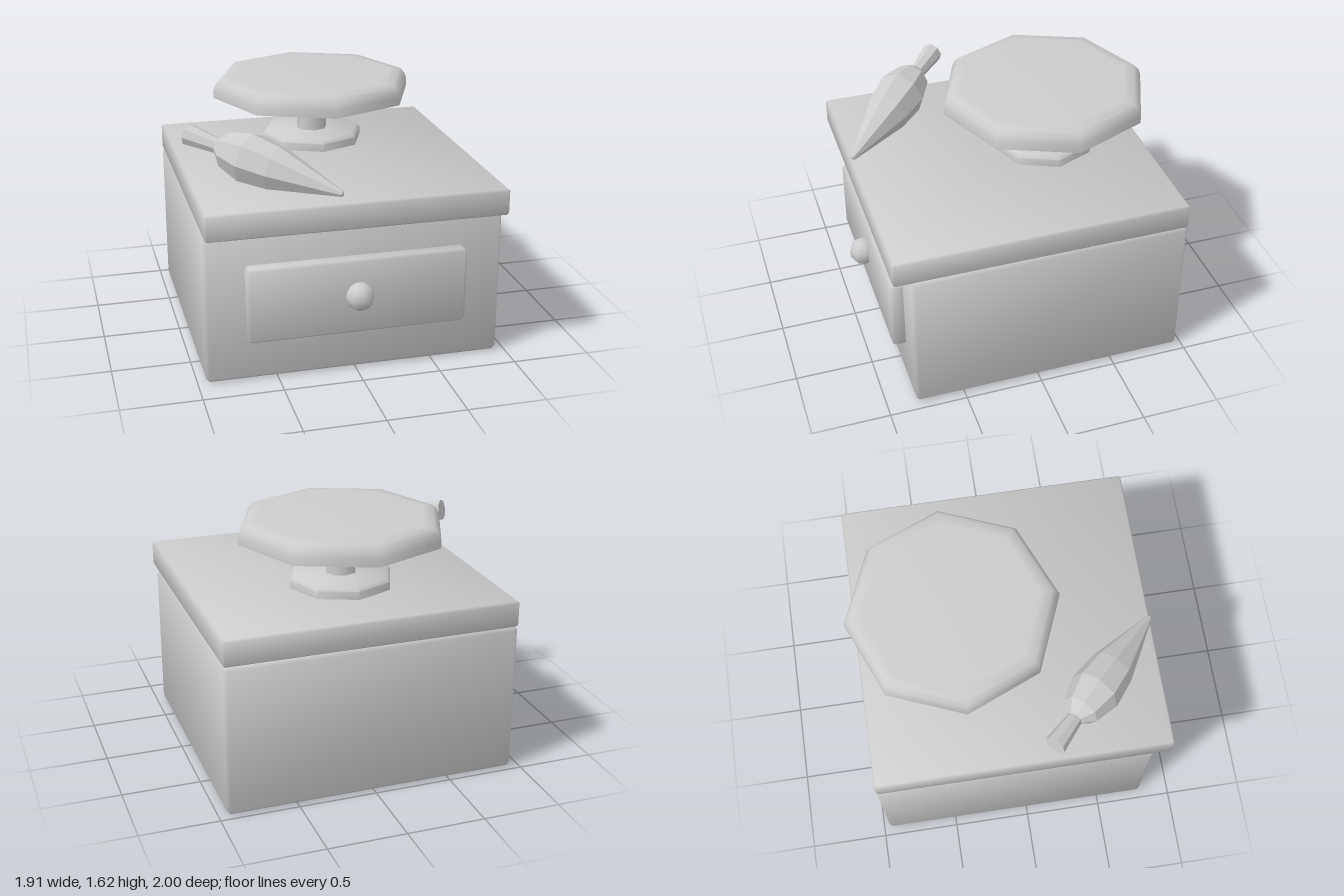
import * as THREE from 'three';
import { toCreasedNormals } from 'three/addons/utils/BufferGeometryUtils.js';
import { ConvexGeometry } from 'three/addons/geometries/ConvexGeometry.js';

const grey = new THREE.MeshStandardMaterial({ color: 0xcccccc });
grey.name = 'light grey';
const flatGrey = grey.clone();
flatGrey.flatShading = true;

function add(group, name, geometry, material = grey) {
  const mesh = new THREE.Mesh(geometry, material);
  mesh.name = name;
  group.add(mesh);
  return mesh;
}

// Chamfered box between two corners, with soft normals running over the chamfers
function bevelBox(min, max, bevel) {
  const half = min.map((v, i) => (max[i] - v) / 2);
  const points = [];
  for (let axis = 0; axis < 3; axis++)
    for (const sx of [-1, 1]) for (const sy of [-1, 1]) for (const sz of [-1, 1]) {
      const p = [sx, sy, sz].map((s, i) => s * (half[i] - (i === axis ? 0 : bevel)));
      points.push(new THREE.Vector3(...p));
    }
  const geometry = new ConvexGeometry(points);
  const pos = geometry.attributes.position, normal = geometry.attributes.normal;
  const n = new THREE.Vector3();
  for (let i = 0; i < pos.count; i++) {
    const p = [pos.getX(i), pos.getY(i), pos.getZ(i)];
    n.set(...p.map((v, k) => Math.sign(v) * (Math.abs(v) > half[k] - bevel / 2 ? 1 : 0.35))).normalize();
    normal.setXYZ(i, n.x, n.y, n.z);
  }
  return geometry.translate(...min.map((v, i) => (v + max[i]) / 2));
}

// Eight-sided turned shape from [radius, height] pairs
function turned(profile) {
  return new THREE.LatheGeometry(profile.map(([r, y]) => new THREE.Vector2(r, y)), 8);
}

export function createModel() {
  const model = new THREE.Group();
  model.name = 'cabinet with cake stand';

  // Cabinet with overhanging top
  add(model, 'cabinetBody', bevelBox([-0.945, 0, -0.965], [0.945, 0.972, 0.81], 0.022));
  add(model, 'cabinetTop', bevelBox([-0.945, 0.975, -0.965], [0.945, 1.143, 0.922], 0.012));

  // Drawer front and knob
  add(model, 'drawerFront', bevelBox([-0.695, 0.275, 0.79], [0.695, 0.763, 0.89], 0.018));
  add(model, 'drawerKnob', new THREE.SphereGeometry(0.09, 8, 8)).position.set(0, 0.53, 0.91);

  // Pedestal stand: foot, stem and plate
  const stand = new THREE.Group();
  stand.name = 'pedestalStand';
  stand.position.z = -0.333;
  model.add(stand);
  const standParts = {
    standFoot: [[0, 1.168], [0.338, 1.168], [0.338, 1.22], [0.315, 1.243], [0, 1.245]],
    standStem: [[0.1, 1.24], [0.1, 1.495]],
    standPlate: [[0, 1.49], [0.667, 1.49], [0.667, 1.54], [0.652, 1.578], [0.622, 1.612], [0.55, 1.618], [0, 1.618]],
  };
  for (const [name, profile] of Object.entries(standParts))
    add(stand, name, toCreasedNormals(turned(profile), 1));

  // Faceted root vegetable lying across the front right corner
  const tip = new THREE.Vector3(-0.115, 1.203, 0.91);
  const end = new THREE.Vector3(-0.912, 1.405, 0.158);
  const axis = end.clone().sub(tip);
  const length = axis.length();
  const vegetable = new THREE.Group();
  vegetable.name = 'rootVegetable';
  vegetable.position.copy(tip);
  vegetable.quaternion.setFromUnitVectors(new THREE.Vector3(0, 1, 0), axis.normalize());
  model.add(vegetable);
  add(vegetable, 'vegetableBody', turned([
    [0, -0.01], [0.018, 0], [0.144, 0.46], [0.164, 0.66], [0.118, 0.82], [0.05, 0.89],
  ]), flatGrey);
  add(vegetable, 'vegetableStalk', turned([[0.05, 0.89], [0.07, length], [0, length]]), flatGrey);

  return model;
}
